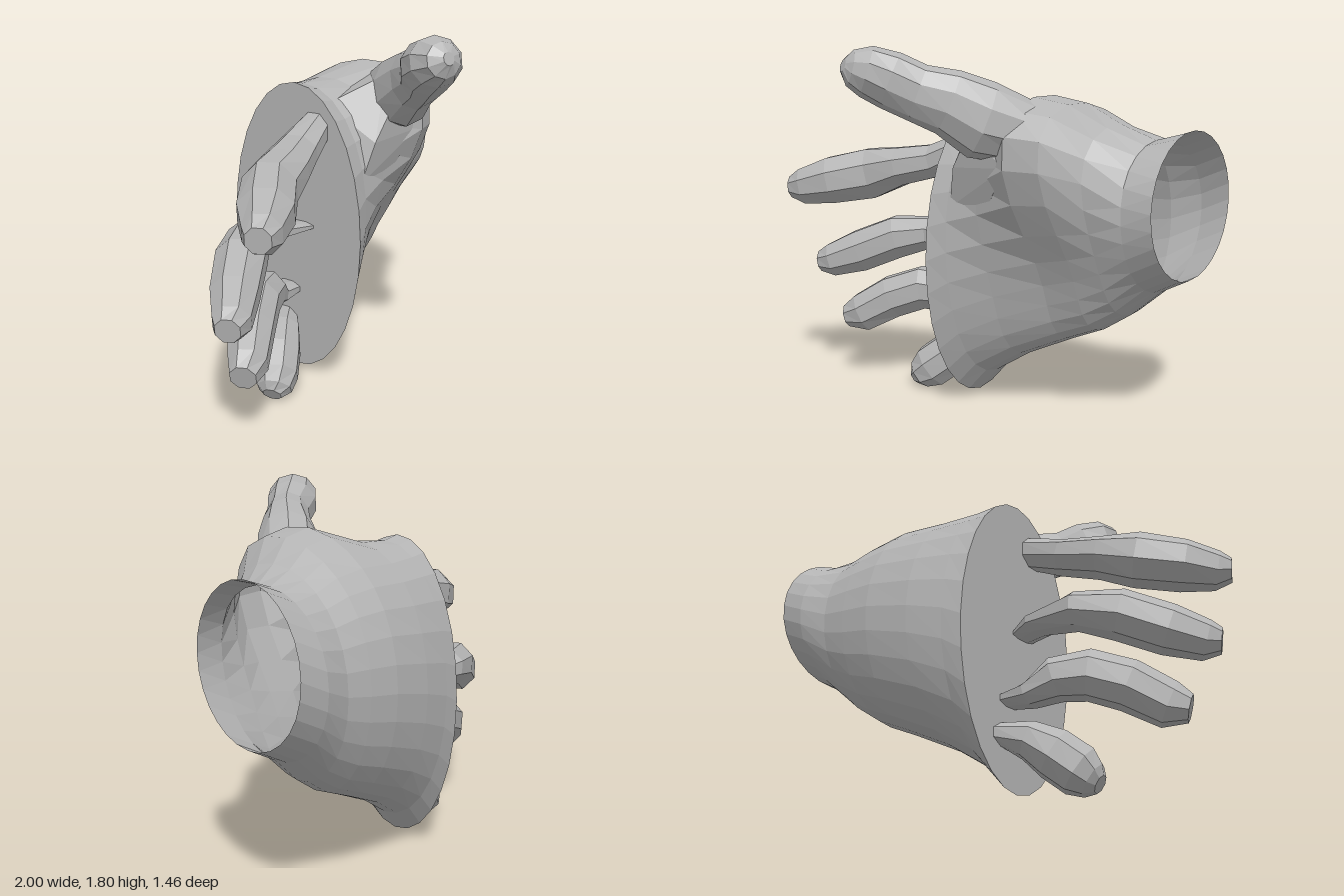
import * as THREE from 'three';
import { ConvexGeometry } from 'three/addons/geometries/ConvexGeometry.js';

const V = (x, y, z) => new THREE.Vector3(x, y, z);

// Faceted skin over a list of equal-sized rings, with optional end caps
function loft(rings, capStart, capEnd) {
  const pos = [];
  const n = rings[0].length;
  const tri = (...pts) => pts.forEach((p) => pos.push(p.x, p.y, p.z));
  const mid = (ring) => ring.reduce((a, p) => a.add(p), V(0, 0, 0)).divideScalar(n);
  const first = rings[0], last = rings[rings.length - 1];
  const c0 = mid(first), c1 = mid(last);
  for (let j = 0; j < n; j++) {
    const k = (j + 1) % n;
    for (let i = 0; i < rings.length - 1; i++) {
      const a = rings[i], b = rings[i + 1];
      tri(a[j], b[j], a[k]);
      tri(a[k], b[j], b[k]);
    }
    if (capStart) tri(c0, first[j], first[k]);
    if (capEnd) tri(c1, last[k], last[j]);
  }
  const g = new THREE.BufferGeometry();
  g.setAttribute('position', new THREE.Float32BufferAttribute(pos, 3));
  g.computeVertexNormals();
  return g;
}

// Finger: each station is [x, y, z, half height, half width]; flatBase keeps the root upright on the palm end
function fingerGeometry(stations, flatBase, sides = 8) {
  const pts = stations.map(([x, y, z]) => V(x, y, z));
  const rings = stations.map(([, , , h, w], i) => {
    const t = pts[Math.min(i + 1, pts.length - 1)].clone().sub(pts[Math.max(i - 1, 0)]).normalize();
    if (flatBase && i === 0) t.set(-1, 0, 0);
    const side = t.clone().cross(V(0, 1, 0)).normalize();
    const up = side.clone().cross(t);
    return Array.from({ length: sides }, (_, j) => {
      const a = ((j + 0.5) / sides) * Math.PI * 2;
      return pts[i].clone().addScaledVector(side, Math.cos(a) * w).addScaledVector(up, Math.sin(a) * h);
    });
  });
  return loft(rings, !flatBase, true);
}

// Palm: each section is [x, centre y, centre z, half height, half depth, thumb bulge, hollow of the hand]
function palmGeometry(sections, sides = 28) {
  const lobe = (a, degrees) => Math.max(0, Math.cos(a - THREE.MathUtils.degToRad(degrees))) ** 4;
  const rings = sections.map(([x, y, z, ry, rz, bulge, hollow]) =>
    Array.from({ length: sides }, (_, j) => {
      const a = (j / sides) * Math.PI * 2;
      return V(
        x,
        y + Math.sin(a) * ry + bulge * 0.63 * lobe(a, 125),
        z - Math.cos(a) * rz + bulge * lobe(a, 141) - hollow * lobe(a, 200),
      );
    }));
  return loft(rings, false, true);
}

export function createModel() {
  const group = new THREE.Group();
  const grey = new THREE.MeshStandardMaterial({ color: 0xb4b4b4, side: THREE.DoubleSide });
  grey.name = 'light grey';
  const add = (name, geometry) => {
    const mesh = new THREE.Mesh(geometry, grey);
    mesh.name = name;
    group.add(mesh);
  };

  // Hollow wrist widening into the palm, closed at the knuckles
  add('palm', palmGeometry([
    [1.0, 1.09, -0.39, 0.345, 0.345, 0, 0],
    [0.86, 1.025, -0.385, 0.355, 0.345, 0.04, 0],
    [0.72, 0.97, -0.35, 0.43, 0.335, 0.15, 0.03],
    [0.59, 0.95, -0.315, 0.5, 0.365, 0.25, 0.08],
    [0.43, 0.93, -0.285, 0.55, 0.385, 0.26, 0.1],
    [0.2, 0.88, -0.22, 0.61, 0.405, 0.08, 0.08],
    [0.02, 0.83, -0.17, 0.68, 0.405, 0, 0.03],
    [-0.08, 0.78, -0.15, 0.75, 0.4, 0, 0],
  ]));

  // Web of skin joining thumb and palm
  add('thumbWeb', new ConvexGeometry([
    V(0.02, 1.05, 0.18), V(0.02, 1.42, -0.03), V(0.08, 1.25, 0.22), V(0.2, 1.42, 0.24),
    V(0.2, 0.98, 0.16), V(0.42, 1.27, 0.25), V(0.43, 1.55, -0.03), V(0.22, 1.56, 0.18),
  ]));

  add('thumb', fingerGeometry([
    [0.4, 1.42, 0.08, 0.15, 0.15],
    [0.28, 1.48, 0.24, 0.18, 0.15],
    [0.19, 1.56, 0.36, 0.15, 0.12],
    [0.1, 1.6, 0.46, 0.13, 0.11],
    [0.01, 1.655, 0.54, 0.13, 0.13],
    [-0.06, 1.695, 0.62, 0.115, 0.125],
    [-0.1, 1.71, 0.68, 0.08, 0.085],
    [-0.11, 1.72, 0.71, 0.03, 0.03],
  ], false, 10));

  add('indexFinger', fingerGeometry([
    [-0.08, 1.31, -0.03, 0.09, 0.09],
    [-0.25, 1.245, 0.0, 0.09, 0.11],
    [-0.43, 1.21, 0.07, 0.105, 0.125],
    [-0.6, 1.165, 0.13, 0.14, 0.13],
    [-0.78, 1.125, 0.26, 0.13, 0.13],
    [-0.91, 1.09, 0.35, 0.1, 0.09],
    [-0.97, 1.085, 0.38, 0.06, 0.06],
  ], true));

  add('middleFinger', fingerGeometry([
    [-0.08, 0.815, -0.11, 0.02, 0.08],
    [-0.22, 0.82, -0.16, 0.045, 0.1],
    [-0.43, 0.83, -0.15, 0.09, 0.115],
    [-0.6, 0.8, -0.05, 0.12, 0.125],
    [-0.78, 0.715, 0.07, 0.12, 0.115],
    [-0.91, 0.66, 0.17, 0.095, 0.09],
    [-0.97, 0.65, 0.2, 0.06, 0.06],
  ], true));

  add('ringFinger', fingerGeometry([
    [-0.08, 0.46, -0.2, 0.035, 0.08],
    [-0.2, 0.46, -0.2, 0.06, 0.09],
    [-0.31, 0.52, -0.16, 0.105, 0.11],
    [-0.45, 0.53, -0.09, 0.12, 0.115],
    [-0.6, 0.47, 0.0, 0.12, 0.115],
    [-0.74, 0.375, 0.1, 0.11, 0.095],
    [-0.82, 0.35, 0.14, 0.065, 0.065],
  ], true));

  add('littleFinger', fingerGeometry([
    [-0.08, 0.285, -0.23, 0.06, 0.09],
    [-0.17, 0.26, -0.18, 0.09, 0.1],
    [-0.27, 0.19, -0.12, 0.12, 0.12],
    [-0.36, 0.11, -0.06, 0.12, 0.115],
    [-0.41, 0.065, -0.03, 0.085, 0.09],
    [-0.44, 0.045, -0.02, 0.045, 0.05],
  ], true));

  return group;
}
